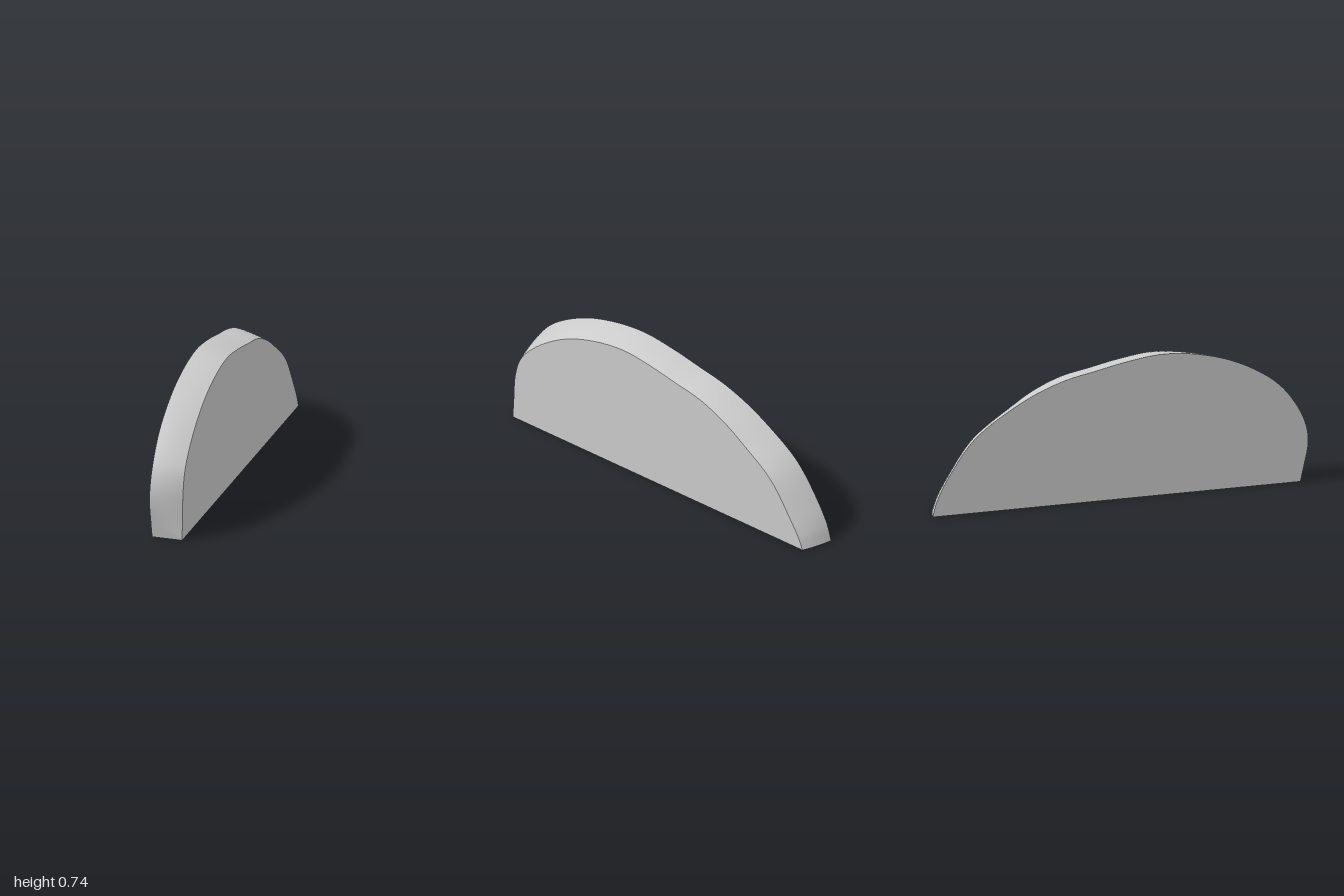
import * as THREE from 'three';

const HALF = 0.08;   // half thickness
const STEPS = 96;    // around the outline
const ACROSS = 8;    // over the rim

// Outline pairs [z, y] from the front foot over the top to the back foot
const WIDE = [
  [0.96, 0], [0.98, 0.09], [1.0, 0.19], [0.995, 0.275], [0.952, 0.385], [0.84, 0.53], [0.64, 0.655],
  [0.435, 0.72], [0.23, 0.743], [0.04, 0.722], [-0.12, 0.69], [-0.29, 0.654], [-0.44, 0.6],
  [-0.6, 0.515], [-0.78, 0.385], [-0.915, 0.2], [-0.975, 0.085], [-1.0, 0],
];
const NARROW = [
  [0.96, 0], [0.96, 0.005], [0.955, 0.1], [0.944, 0.26], [0.91, 0.37], [0.8, 0.495], [0.615, 0.618],
  [0.425, 0.685], [0.23, 0.712], [0.05, 0.692], [-0.11, 0.66], [-0.27, 0.626], [-0.42, 0.562],
  [-0.56, 0.472], [-0.735, 0.338], [-0.86, 0.16], [-0.92, 0.06], [-0.945, 0],
];

function outline(points) {
  const curve = new THREE.CatmullRomCurve3(points.map(([z, y]) => new THREE.Vector3(0, y, z)));
  return curve.getPoints(STEPS).map((p) => p.setY(Math.max(0, p.y)));
}

export function createModel() {
  const group = new THREE.Group();
  const material = new THREE.MeshStandardMaterial({ color: 0xcccccc });
  const add = (name, geometry) => {
    const mesh = new THREE.Mesh(geometry, material);
    mesh.name = name;
    group.add(mesh);
    return mesh;
  };

  const wide = outline(WIDE);
  const narrow = outline(NARROW);

  // Gently bulging blend from the wide face to the narrow face
  const rimPoint = (i, j) => {
    const t = j / ACROSS;
    const p = wide[i].clone().lerp(narrow[i], t * (0.6 + 0.4 * t));
    return p.setX(-HALF + 2 * HALF * t);
  };

  // Curved rim
  const positions = [];
  const index = [];
  const row = ACROSS + 1;
  for (let i = 0; i <= STEPS; i++) {
    for (let j = 0; j <= ACROSS; j++) {
      positions.push(...rimPoint(i, j).toArray());
      if (i < STEPS && j < ACROSS) {
        const a = i * row + j;
        index.push(a, a + 1, a + row, a + 1, a + row + 1, a + row);
      }
    }
  }
  const rim = new THREE.BufferGeometry();
  rim.setAttribute('position', new THREE.Float32BufferAttribute(positions, 3));
  rim.setIndex(index);
  rim.computeVertexNormals();
  add('rim', rim);

  // Flat side faces
  const face = (points, side) => {
    const shape = new THREE.Shape(points.map((p) => new THREE.Vector2(-side * p.z, p.y)));
    return new THREE.ShapeGeometry(shape).rotateY(side * Math.PI / 2).translate(side * HALF, 0, 0);
  };
  add('wideFace', face(wide, -1));
  add('narrowFace', face(narrow, 1));

  // Flat base, following the curved ends of the rim
  const base = [];
  for (let j = 0; j <= ACROSS; j++) base.push(rimPoint(0, j));
  for (let j = ACROSS; j >= 0; j--) base.push(rimPoint(STEPS, j));
  const baseShape = new THREE.Shape(base.map((p) => new THREE.Vector2(p.x, p.z)));
  add('base', new THREE.ShapeGeometry(baseShape).rotateX(Math.PI / 2));

  return group;
}
